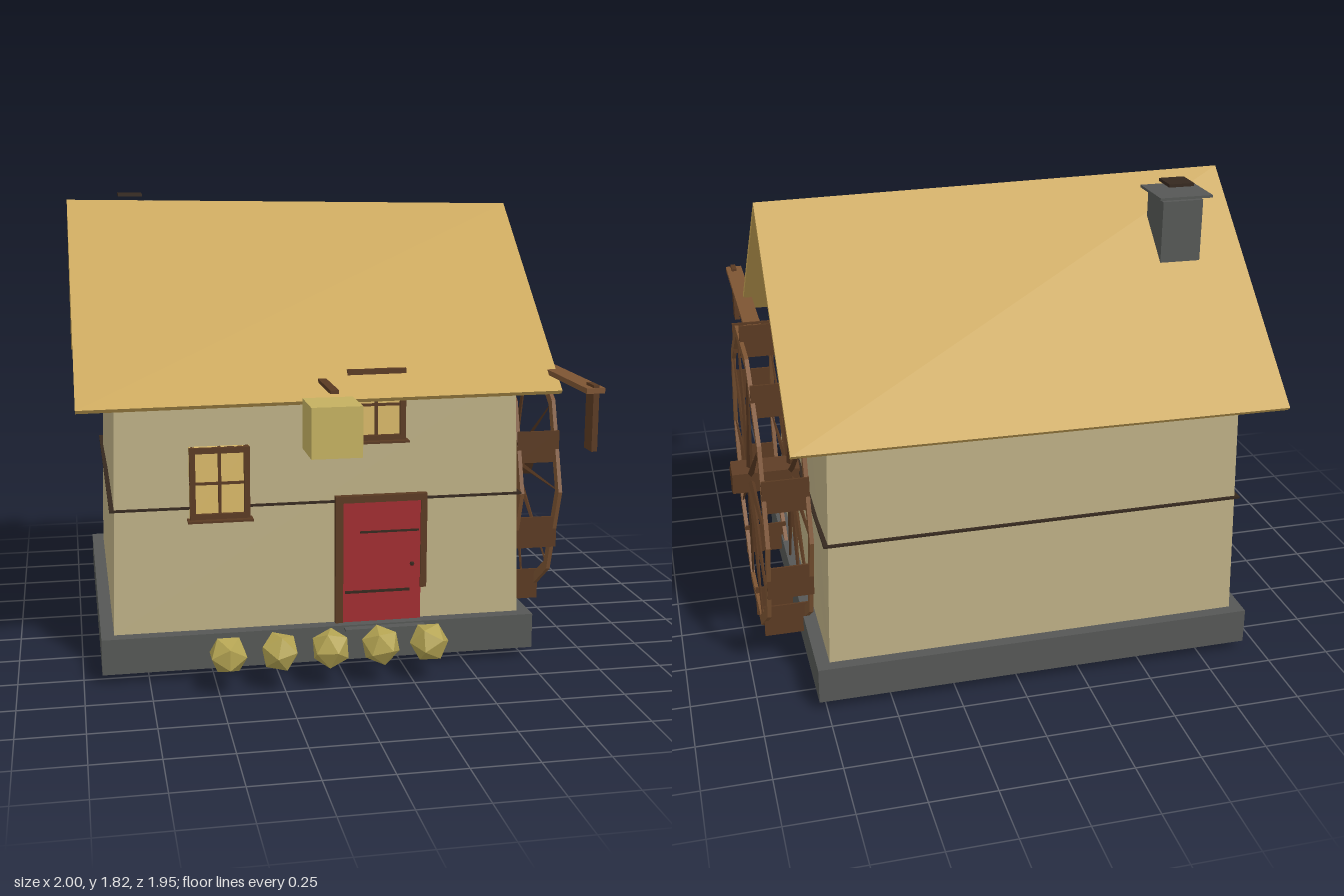
import * as THREE from 'three';

const mat = (color, extra = {}) => new THREE.MeshStandardMaterial({ color, flatShading: true, ...extra });
const WALL = mat(0xbcae84), ROOF = mat(0xc8a455), STONE = mat(0x555755), DARK = mat(0x35281e);
const WOOD = mat(0x5a3a22), LIGHT_WOOD = mat(0x7d5433), RED = mat(0xa02c30);
const GLASS = mat(0xd8b868), LAMP = mat(0xc4b060), BUSH = mat(0xb3a352);

function add(parent, name, geometry, material, x = 0, y = 0, z = 0) {
  const mesh = new THREE.Mesh(geometry, material);
  mesh.name = name;
  mesh.position.set(x, y, z);
  parent.add(mesh);
  return mesh;
}

// Box given by its limits on each axis
function box(parent, name, material, [x0, x1], [y0, y1], [z0, z1]) {
  return add(parent, name, new THREE.BoxGeometry(x1 - x0, y1 - y0, z1 - z0), material,
    (x0 + x1) / 2, (y0 + y1) / 2, (z0 + z1) / 2);
}

function group(parent, name) {
  const g = new THREE.Group();
  g.name = name;
  parent.add(g);
  return g;
}

// Extrudes a [z, y] outline along x
function extrudeX(points, x0, x1) {
  const shape = new THREE.Shape(points.map(([z, y]) => new THREE.Vector2(-z, y)));
  const geo = new THREE.ExtrudeGeometry(shape, { depth: x1 - x0, bevelEnabled: false });
  return geo.rotateY(Math.PI / 2).translate(x0, 0, 0);
}

function moveVertices(geo, rule) {
  const p = geo.attributes.position, v = new THREE.Vector3();
  for (let i = 0; i < p.count; i++) {
    rule(v.fromBufferAttribute(p, i));
    p.setXYZ(i, v.x, v.y, v.z);
  }
  geo.computeVertexNormals();
  return geo;
}

function buildHouse(root) {
  const house = group(root, 'house');
  box(house, 'foundation', STONE, [-0.93, 0.78], [0.04, 0.18], [-0.9, 0.565]);

  // Walls with gables, narrowing slightly towards the eaves
  const walls = extrudeX([[0.515, 0.18], [0.5, 1.16], [-0.17, 1.745], [-0.84, 1.16], [-0.855, 0.18]], -0.88, 0.73);
  moveVertices(walls, v => {
    const t = (Math.min(v.y, 1.16) - 0.18) / 0.98;
    v.x = -0.075 + (v.x + 0.075) * (1 - 0.031 * t);
  });
  add(house, 'walls', walls, WALL);
  box(house, 'wallBelt', DARK, [-0.885, 0.735], [0.666, 0.674], [-0.86, 0.52]);

  // Thin gabled roof, slightly flatter at its left end
  const roof = extrudeX([[0.63, 1.085], [-0.17, 1.805], [-0.975, 1.085], [-0.96, 1.07], [-0.17, 1.775], [0.615, 1.07]], -1, 0.85);
  moveVertices(roof, v => {
    const t = (v.x + 1) / 1.85;
    v.y += t * (v.y > 1.4 ? -0.03 : 0.015);
  });
  add(house, 'roof', roof, ROOF);

  // Chimney with two floating cap plates
  const chimney = group(house, 'chimney');
  box(chimney, 'chimneyStack', STONE, [-0.815, -0.655], [1.42, 1.76], [-0.49, -0.33]);
  box(chimney, 'chimneyCap', STONE, [-0.84, -0.63], [1.774, 1.784], [-0.52, -0.31]);
  box(chimney, 'chimneyTop', DARK, [-0.785, -0.685], [1.808, 1.82], [-0.465, -0.36]);
}

function buildDoor(root) {
  const door = group(root, 'door');
  box(door, 'doorPanel', RED, [0.01, 0.325], [0.18, 0.67], [0.5, 0.528]);
  box(door, 'doorLintel', WOOD, [-0.018, 0.347], [0.665, 0.692], [0.5, 0.535]);
  box(door, 'doorPostRight', WOOD, [-0.018, 0.012], [0.18, 0.665], [0.5, 0.535]);
  box(door, 'doorPostLeft', WOOD, [0.322, 0.347], [0.31, 0.665], [0.5, 0.535]);
  box(door, 'upperHinge', DARK, [0.08, 0.315], [0.541, 0.549], [0.525, 0.533]);
  box(door, 'lowerHinge', DARK, [0.02, 0.28], [0.298, 0.308], [0.525, 0.533]);
  add(door, 'doorKnob', new THREE.IcosahedronGeometry(0.01), DARK, 0.287, 0.41, 0.538);
  box(door, 'doorStep', STONE, [0.01, 0.33], [0.166, 0.174], [0.53, 0.6]);
}

function buildWindow(root, x, y) {
  const w = group(root, 'window');
  const hw = 0.115, hh = 0.14, bar = 0.022;
  box(w, 'windowPane', GLASS, [-hw, hw], [-hh, hh], [0.49, 0.524]);
  for (const s of [-1, 1]) {
    const cx = s * (hw - bar / 2), cy = s * (hh - bar / 2);
    box(w, 'windowSideFrame', WOOD, [cx - bar / 2, cx + bar / 2], [-hh, hh], [0.49, 0.54]);
    box(w, 'windowCrossFrame', WOOD, [-hw, hw], [cy - bar / 2, cy + bar / 2], [0.49, 0.54]);
  }
  box(w, 'verticalMullion', WOOD, [-0.006, 0.006], [-hh, hh], [0.5, 0.532]);
  box(w, 'horizontalMullion', WOOD, [-hw, hw], [-0.005, 0.005], [0.5, 0.532]);
  box(w, 'windowSill', WOOD, [-hw - 0.01, hw + 0.01], [-hh - 0.006, -hh + 0.002], [0.5, 0.565]);
  w.position.set(x, y, 0);
}

function buildWheel(root) {
  const wheel = group(root, 'waterWheel');
  const n = 10, R = 0.61, inner = 0.568;
  const decagon = r => Array.from({ length: n }, (_, i) =>
    new THREE.Vector2(r * Math.cos(i * 2 * Math.PI / n), r * Math.sin(i * 2 * Math.PI / n)));
  const ring = new THREE.Shape(decagon(R));
  ring.holes.push(new THREE.Path(decagon(inner).reverse()));
  const rimGeo = new THREE.ExtrudeGeometry(ring, { depth: 0.016, bevelEnabled: false });
  rimGeo.rotateY(Math.PI / 2).translate(-0.008, 0, 0);

  // Two rims, each with ten tapering spokes
  for (const x of [-0.08, 0.08]) {
    add(wheel, 'rim', rimGeo, LIGHT_WOOD, x);
    for (let i = 0; i < n; i++) {
      const spoke = new THREE.CylinderGeometry(0.003, 0.014, inner + 0.01, 4);
      spoke.translate(0, inner / 2, 0).rotateX(Math.PI / 2 + i * 2 * Math.PI / n);
      add(wheel, 'spoke', spoke, WOOD, x);
    }
  }
  // Upright paddles between the rims
  for (let i = 0; i < n; i++) {
    const a = (i + 0.5) * 2 * Math.PI / n;
    add(wheel, 'paddle', new THREE.BoxGeometry(0.175, 0.13, 0.008), WOOD,
      0, 0.58 * Math.sin(a), 0.58 * Math.cos(a));
  }
  const hub = new THREE.CylinderGeometry(0.07, 0.07, 0.27, 5).rotateZ(Math.PI / 2);
  add(wheel, 'axle', hub, WOOD, 0.02);
  wheel.position.set(0.845, 0.645, -0.165);
}

export function createModel() {
  const root = new THREE.Group();
  root.name = 'waterMill';
  buildHouse(root);
  buildDoor(root);
  buildWindow(root, -0.467, 0.767);
  buildWindow(root, 0.14, 1.05);
  buildWheel(root);

  // Water chute with a hanging end board
  box(root, 'chute', LIGHT_WOOD, [0.815, 0.885], [1.15, 1.17], [-0.095, 0.97]);
  box(root, 'chuteEndBoard', WOOD, [0.842, 0.864], [0.935, 1.18], [0.895, 0.968]);

  // Lantern hanging from a wall arm
  box(root, 'lanternArm', WOOD, [-0.092, -0.06], [1.148, 1.162], [0.5, 0.8]);
  box(root, 'lantern', LAMP, [-0.17, 0.02], [0.92, 1.11], [0.66, 0.85]);

  // Row of bushes in front of the foundation
  [-0.465, -0.27, -0.075, 0.12, 0.31].forEach((x, i) => {
    const bush = add(root, 'bush', new THREE.IcosahedronGeometry(0.078), BUSH, x, 0.155, 0.73);
    bush.rotation.set(i * 0.7, i * 1.3, i * 0.4);
  });
  return root;
}
